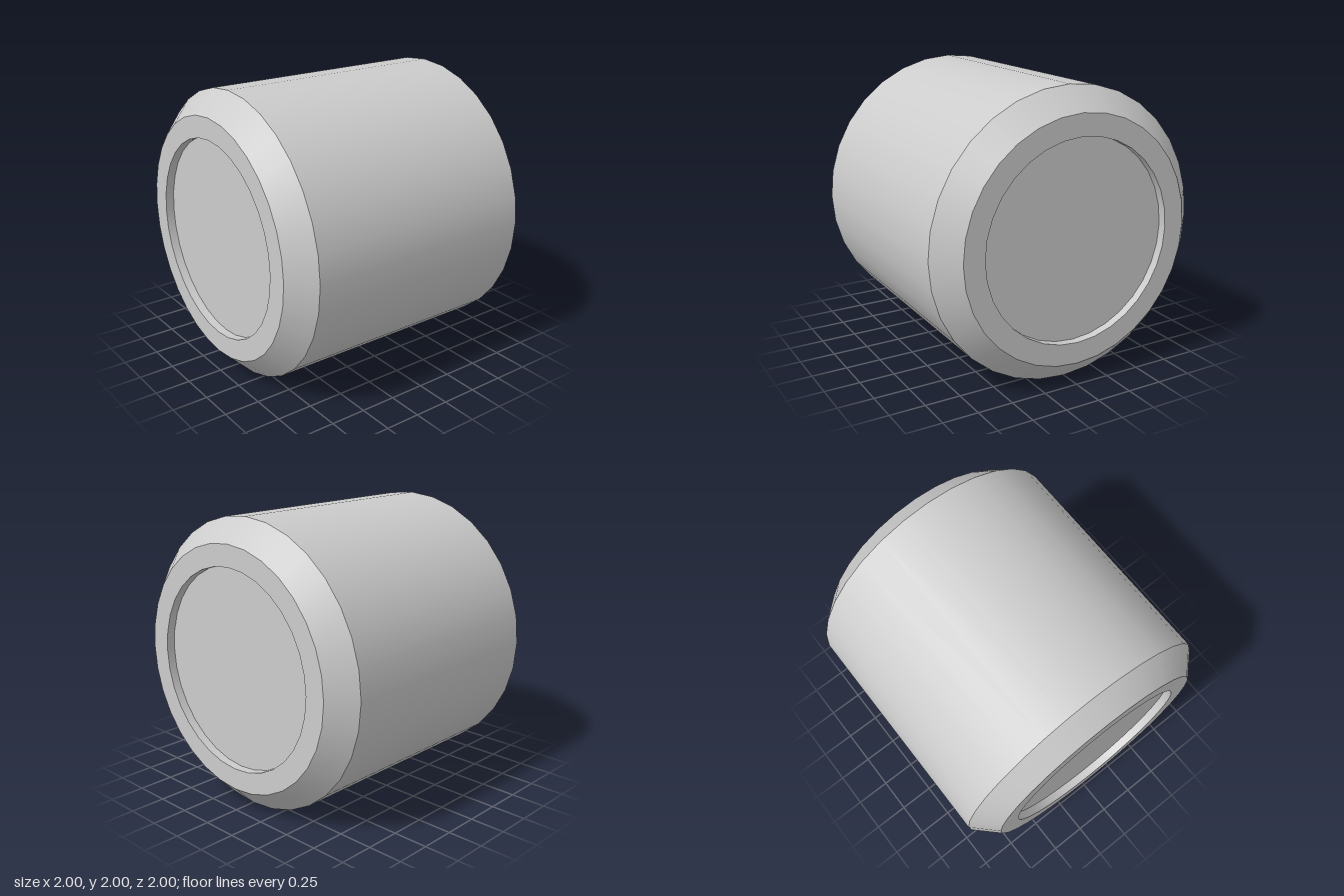
import * as THREE from 'three';

const SIDES = 32;
const BEVEL = 0.843;   // radius and depth where the chamfer meets the barrel and rim
const RECESS = 0.693;  // recess radius
const FLOOR = 0.94;    // z of the recess floor

export function createModel() {
  const grey = new THREE.MeshStandardMaterial({ color: 0xcccccc });
  grey.name = 'light grey';

  // One straight band of the turned profile, [radius, z] to [radius, z], with sharp borders
  const band = (name, from, to) => {
    const profile = [from, to].map(([r, z]) => new THREE.Vector2(r, z));
    const geometry = new THREE.LatheGeometry(profile, SIDES).rotateX(Math.PI / 2);
    const mesh = new THREE.Mesh(geometry, grey);
    mesh.name = name;
    return mesh;
  };

  const model = new THREE.Group();
  model.name = 'chamferedCylinder';

  // Barrel lying along z
  model.add(band('barrel', [1, -BEVEL], [1, BEVEL]));

  // Identical chamfered, recessed ends
  for (const side of ['front', 'back']) {
    const end = new THREE.Group();
    end.name = side + 'End';
    end.add(
      band('chamfer', [1, BEVEL], [BEVEL, 1]),
      band('rim', [BEVEL, 1], [RECESS, 1]),
      band('recessWall', [RECESS, 1], [RECESS, FLOOR]),
      band('recessFloor', [RECESS, FLOOR], [0, FLOOR])
    );
    if (side === 'back') end.rotation.y = Math.PI;
    model.add(end);
  }

  // Rest on the ground
  model.children.forEach((part) => { part.position.y = 1; });
  return model;
}
